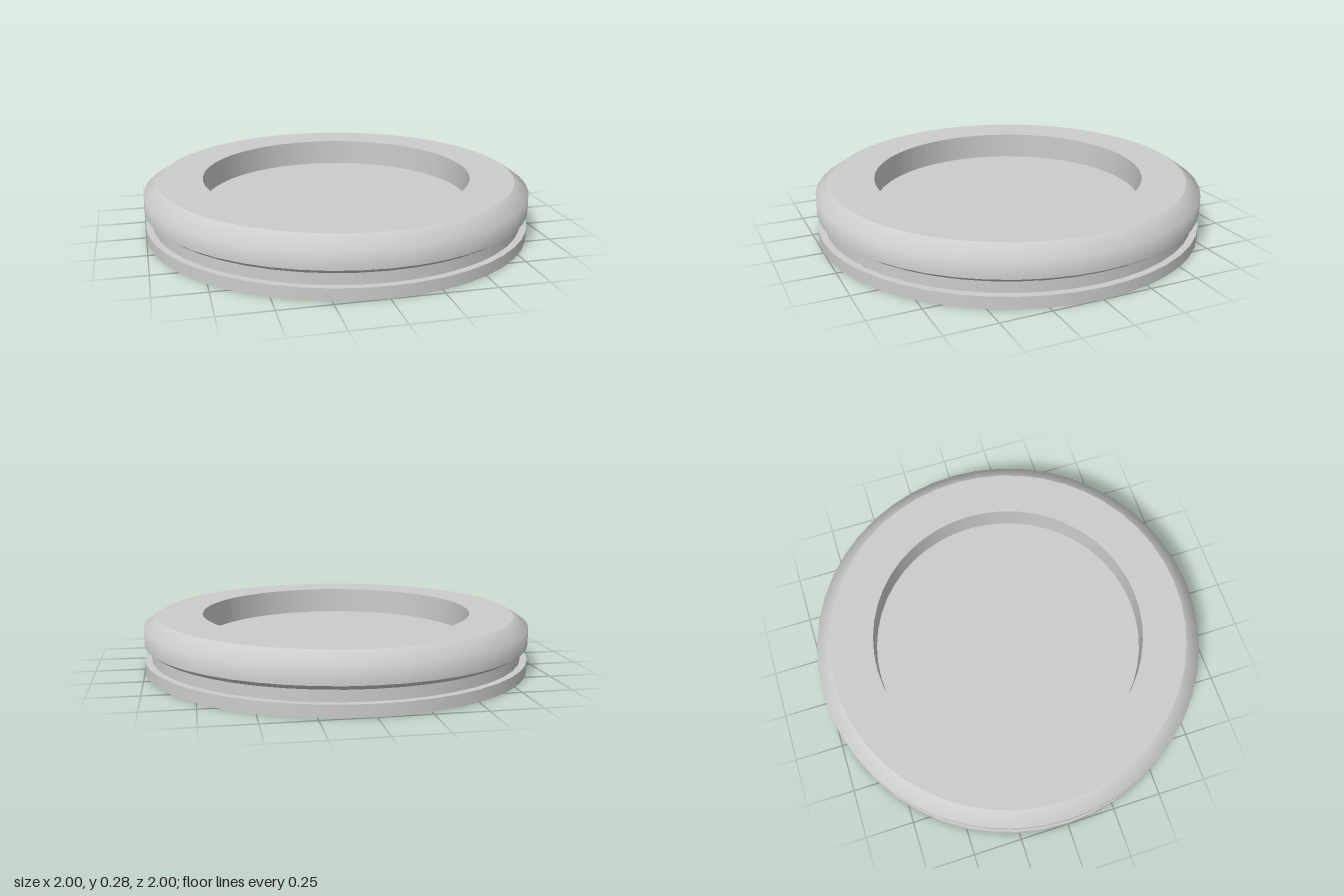
import * as THREE from 'three';

export function createModel() {
  const group = new THREE.Group();
  const grey = new THREE.MeshStandardMaterial({ color: 0xcccccc });
  grey.name = 'light grey';

  // Each band is lathed on its own so the edges between bands stay sharp.
  const band = (name, profile) => {
    const points = profile.map(([r, y]) => new THREE.Vector2(r, y));
    const mesh = new THREE.Mesh(new THREE.LatheGeometry(points, 48), grey);
    mesh.name = name;
    group.add(mesh);
  };

  // Base flange
  band('underside', [[0, 0], [1, 0]]);
  band('baseFlange', [[1, 0], [1, 0.06]]);
  band('baseLedge', [[1, 0.06], [0.965, 0.06]]);

  // Groove and the flare above it
  band('groove', [[0.965, 0.06], [0.965, 0.115]]);
  band('flare', [[0.965, 0.115], [1, 0.14]]);

  // Upper ring: side and chamfer share smooth normals
  band('upperRing', [[1, 0.14], [1, 0.23], [0.925, 0.28]]);
  band('topRim', [[0.925, 0.28], [0.7, 0.28]]);

  // Round recess
  band('recessWall', [[0.7, 0.28], [0.7, 0.142]]);
  band('recessFloor', [[0.7, 0.142], [0, 0.142]]);

  return group;
}
